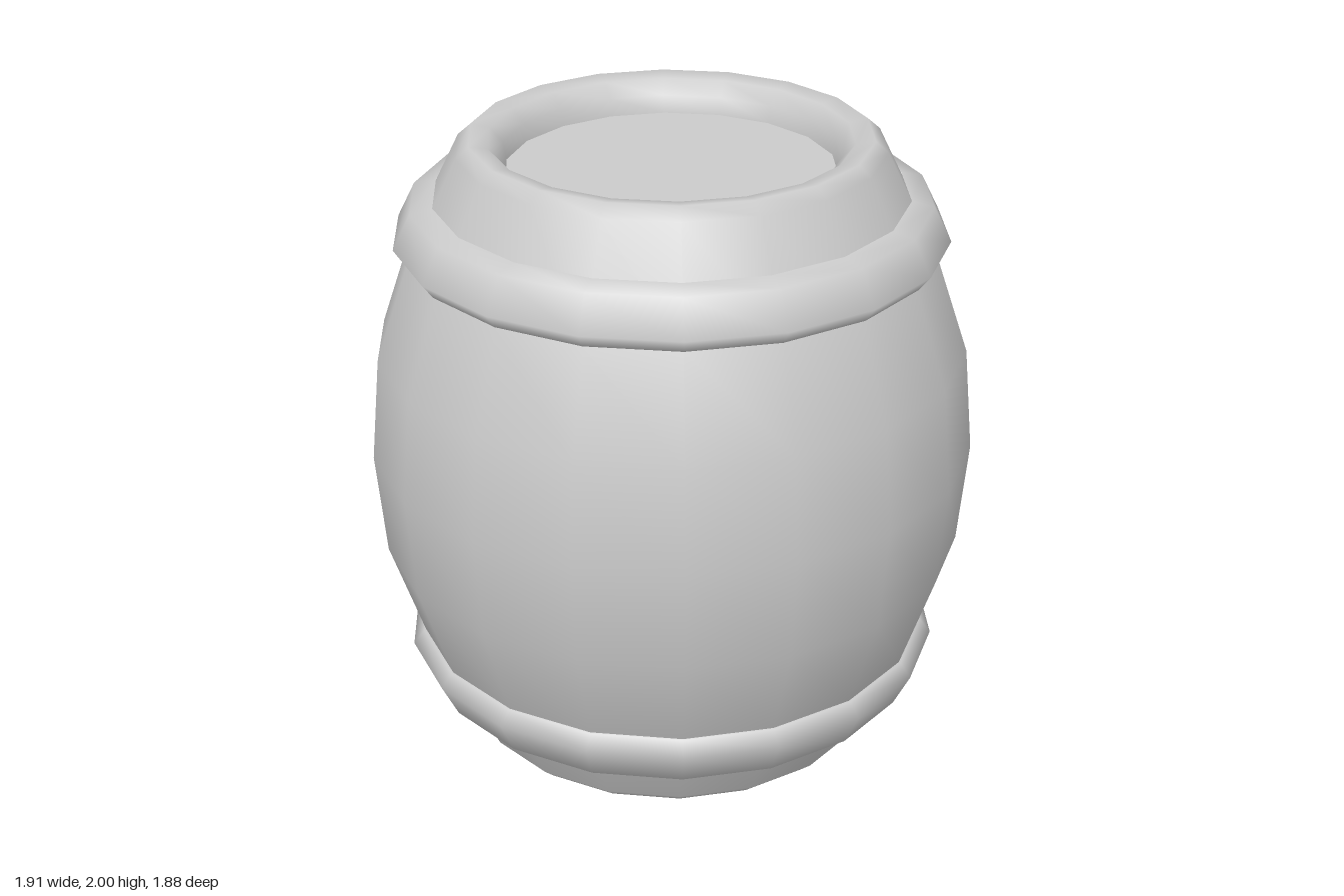
import * as THREE from 'three';

const SIDES = 18;
const HEIGHT = 2;

export function createModel() {
  const group = new THREE.Group();
  const material = new THREE.MeshStandardMaterial({ color: 0xcccccc });

  const toPoints = (pairs) => pairs.map(([r, y]) => new THREE.Vector2(r, y));
  // Mirror a profile about mid-height, reversed so faces stay outward
  const flip = (pairs) => pairs.map(([r, y]) => [r, HEIGHT - y]).reverse();

  // Smooth 18-sided turned part with a corner on the x axis
  function turned(name, pairs) {
    const geometry = new THREE.LatheGeometry(toPoints(pairs), SIDES, Math.PI / 2);
    const mesh = new THREE.Mesh(geometry, material);
    mesh.name = name;
    group.add(mesh);
  }

  // Bulging staves, from the middle up and over the rounded rim into the recess
  const upperHalf = [
    [0.925, 1.33], [0.82, 1.64], [0.66, 1.965], [0.62, 2],
    [0.56, 1.99], [0.52, 1.945], [0.51, 1.89],
  ];
  turned('barrelBody', [...flip(upperHalf), [0.955, 1], ...upperHalf]);

  // Raised hoops
  const hoop = [[0.80, 1.643], [0.825, 1.645], [0.86, 1.69], [0.805, 1.8], [0.735, 1.815]];
  turned('upperHoop', hoop);
  turned('lowerHoop', flip(hoop));

  // Flat heads set into both ends
  const head = [[0.512, 1.89], [0, 1.89]];
  turned('topHead', head);
  turned('bottomHead', flip(head));

  return group;
}
